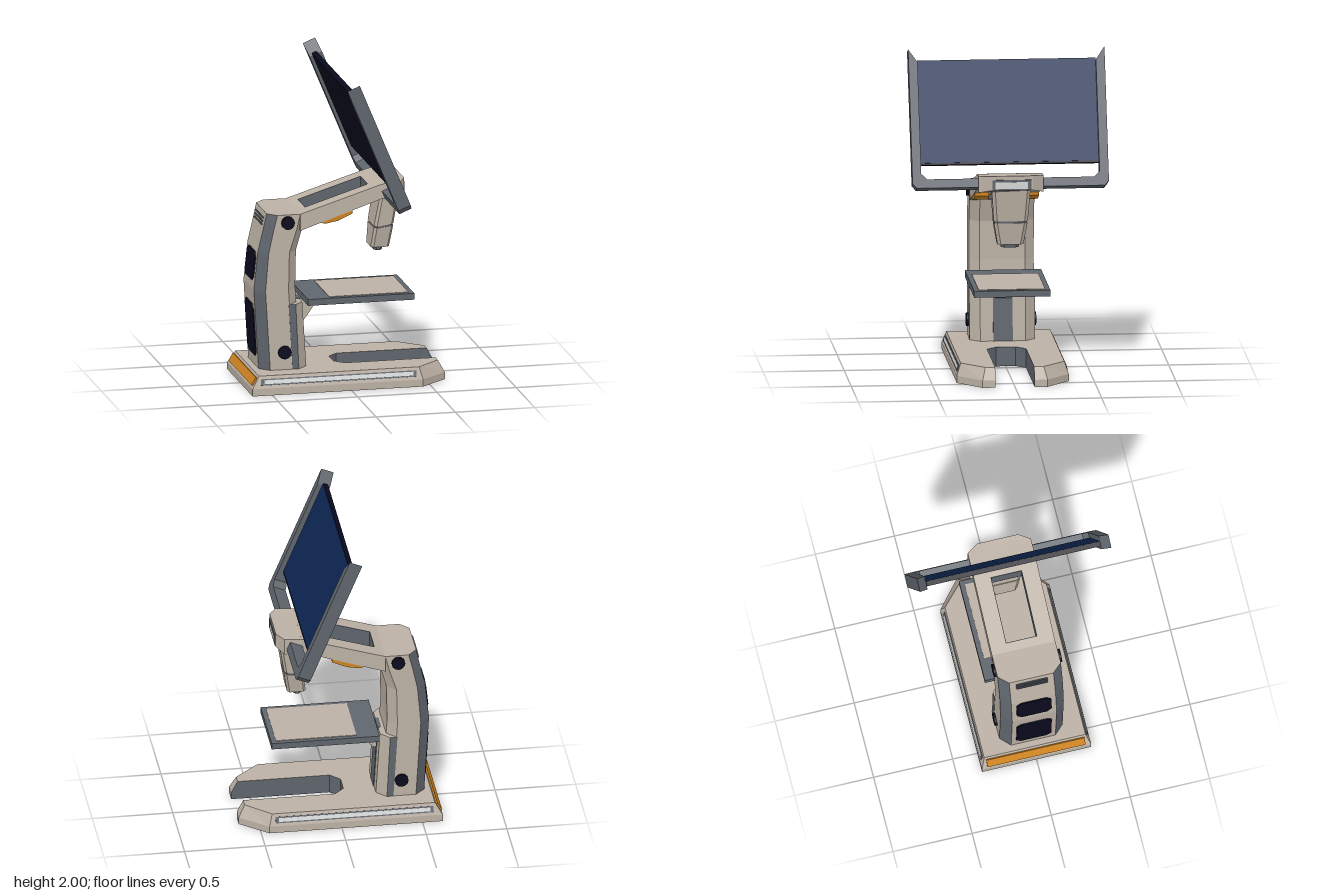
import * as THREE from 'three';

const mat = (name, color) => {
  const m = new THREE.MeshStandardMaterial({ color });
  m.name = name;
  return m;
};

export function createModel() {
  const root = new THREE.Group();
  root.name = 'inspectionStand';
  const beige = mat('warm beige', 0xbcb1a5);
  const grey = mat('slate grey', 0x60666e);
  const black = mat('blue black', 0x0a0a1e);
  const navy = mat('screen navy', 0x0f2856);
  const orange = mat('amber', 0xcf8420);
  const light = mat('pale trim', 0xd3d6d4);

  const add = (name, geo, material, parent = root) => {
    const m = new THREE.Mesh(geo, material);
    m.name = name;
    parent.add(m);
    return m;
  };
  const box = (name, w, h, d, x, y, z, material, parent) => {
    const m = add(name, new THREE.BoxGeometry(w, h, d), material, parent);
    m.position.set(x, y, z);
    return m;
  };
  const shape = (pts) => new THREE.Shape(pts.map((p) => new THREE.Vector2(...p)));
  // side profile (x, y) extruded from z0 to z1
  const prism = (name, pts, z0, z1, material) => {
    const g = new THREE.ExtrudeGeometry(shape(pts), { depth: z1 - z0, bevelEnabled: false });
    return add(name, g.translate(0, 0, z0), material);
  };
  // skin stacked rings of [x, y, z], with one material per side and capped ends
  const loft = (name, rings, sideMat, bottomMat = beige) => {
    const buckets = new Map();
    const tri = (m, a, b, c) => {
      if (!buckets.has(m)) buckets.set(m, []);
      buckets.get(m).push(...a, ...b, ...c);
    };
    const n = rings[0].length;
    for (let k = 0; k < rings.length - 1; k++) {
      for (let i = 0; i < n; i++) {
        const j = (i + 1) % n, r = rings[k], s = rings[k + 1];
        tri(sideMat(i), r[i], s[i], s[j]);
        tri(sideMat(i), r[i], s[j], r[j]);
      }
    }
    const cap = (ring, up, m) => {
      const flat = ring.map((p) => new THREE.Vector2(p[0], p[2]));
      for (const [a, b, c] of THREE.ShapeUtils.triangulateShape(flat, [])) {
        const area = (flat[b].x - flat[a].x) * (flat[c].y - flat[a].y)
          - (flat[b].y - flat[a].y) * (flat[c].x - flat[a].x);
        if ((area < 0) === up) tri(m, ring[a], ring[b], ring[c]);
        else tri(m, ring[a], ring[c], ring[b]);
      }
    };
    cap(rings[0], false, bottomMat);
    cap(rings[rings.length - 1], true, sideMat(-1));
    const g = new THREE.BufferGeometry();
    const pos = [], mats = [...buckets.keys()];
    mats.forEach((m, i) => {
      g.addGroup(pos.length / 3, buckets.get(m).length / 3, i);
      for (const v of buckets.get(m)) pos.push(v);
    });
    g.setAttribute('position', new THREE.Float32BufferAttribute(pos, 3));
    g.computeVertexNormals();
    return add(name, g, mats);
  };
  // complete a half outline (z negative) by mirroring it
  const mirrorRing = (half) => [...half, ...half.slice().reverse().map(([x, y, z]) => [x, y, -z])];

  // base: forked plate with sloped rim and dark slot walls
  const baseRing = (y, back, wide, cx, tip, tz) => mirrorRing([
    [back, y, -wide], [cx, y, -wide], [tip, y, -tz], [tip, y, -0.12], [0.01, y, -0.12], [-0.05, y, -0.06],
  ]);
  loft('base', [
    baseRing(0, -0.625, 0.345, 0.45, 0.62, 0.2),
    baseRing(0.045, -0.625, 0.345, 0.45, 0.62, 0.2),
    baseRing(0.12, -0.58, 0.32, 0.43, 0.58, 0.18),
  ], (i) => (i >= 3 && i <= 7 ? grey : beige), black);
  for (const s of [-1, 1]) {
    const strip = new THREE.Group();
    strip.name = 'baseSideStrip';
    strip.position.set(-0.08, 0.082, s * 0.333);
    strip.rotation.x = -s * 0.32;
    box('stripFrame', 0.98, 0.04, 0.006, 0, 0, 0, grey, strip);
    box('stripInlay', 0.94, 0.024, 0.009, 0, 0, 0, light, strip);
    root.add(strip);
  }
  box('backStrip', 0.02, 0.055, 0.62, -0.603, 0.082, 0, orange).rotation.z = -0.54;

  // column: bowed post with grey rear chamfers
  loft('column', [
    [0.12, -0.54, -0.48, -0.335, -0.27],
    [0.62, -0.57, -0.51, -0.365, -0.31],
    [0.86, -0.545, -0.49, -0.36, -0.305],
    [1.0, -0.512, -0.46, -0.315, -0.265],
    [1.1, -0.49, -0.435, -0.29, -0.25],
  ].map(([y, b, s, f, c]) => mirrorRing([[b, y, -0.14], [s, y, -0.2], [f, y, -0.2], [c, y, -0.14]])),
  (i) => (i === 0 || i === 6 ? grey : beige));

  // lower guide block with a central rail
  loft('guideBlock', [[0.12, -0.34, -0.3, -0.24], [0.53, -0.365, -0.32, -0.265]].map(([y, f, g, c]) =>
    mirrorRing([[f, y, -0.202], [g, y, -0.202], [c, y, -0.14]])), (i) => (i === 0 || i === 4 ? grey : beige));
  prism('rail', [[-0.26, 0.12], [-0.236, 0.12], [-0.261, 0.532], [-0.285, 0.532]], -0.06, 0.06, grey);

  // rear panels and vent slits lie on the sloping back
  const backPlate = (name, x0, y0, x1, y1, hw, c, material) => {
    const h = Math.hypot(x1 - x0, y1 - y0);
    const g = new THREE.ExtrudeGeometry(shape([[-hw + c, 0], [hw - c, 0], [hw, c], [hw, h - c],
      [hw - c, h], [-hw + c, h], [-hw, h - c], [-hw, c]]), { depth: 0.008, bevelEnabled: false });
    const m = add(name, g.rotateY(-Math.PI / 2), material);
    m.position.set(x0, y0, 0);
    m.rotation.z = Math.atan2(x0 - x1, y1 - y0);
  };
  backPlate('lowerRearPanel', -0.544, 0.19, -0.564, 0.52, 0.11, 0.03, black);
  backPlate('upperRearPanel', -0.565, 0.67, -0.546, 0.85, 0.11, 0.03, black);
  for (const y of [1.02, 1.04, 1.06]) {
    const x = -0.512 + (y - 1) * 0.22;
    backPlate('ventSlit', x, y, x + 0.002, y + 0.008, 0.1, 0.002, grey);
  }

  // pivot caps through the column
  for (const [x, y] of [[-0.37, 1.05], [-0.39, 0.23]]) {
    const cap = add('pivotCap', new THREE.CylinderGeometry(0.042, 0.042, 0.43, 12).toNonIndexed(), black);
    cap.rotation.x = Math.PI / 2;
    cap.position.set(x, y, 0);
  }

  // arm: two rails around an open slot, joined at both ends
  const top = (x) => 1.1 + 0.312 * Math.max(0, x + 0.29);
  const under = (x) => 1.005 + 0.337 * (x + 0.26);
  const armPart = (name, x0, x1, z0, z1, material) => prism(name,
    [[x0, under(x0)], [x1, under(x1)], [x1, top(x1)], [x0, top(x0)]], z0, z1, material);
  armPart('armRoot', -0.29, -0.24, -0.2, 0.2, beige);
  armPart('armFrontBridge', 0.16, 0.23, -0.2, 0.2, beige);
  armPart('slotRearWall', -0.24, -0.236, -0.1, 0.1, grey);
  armPart('slotFrontWall', 0.156, 0.16, -0.1, 0.1, grey);
  for (const s of [-1, 1]) {
    const span = (a, b) => (s > 0 ? [a, b] : [-b, -a]);
    armPart('armRail', -0.24, 0.16, ...span(0.1, 0.2), beige);
    armPart('slotSideWall', -0.236, 0.156, ...span(0.096, 0.1), grey);
    prism('armGrip', [[-0.16, 1.037], [-0.13, 1.03], [-0.05, 1.045], [0.04, 1.085], [0.04, 1.112], [-0.15, 1.048]],
      ...span(0.11, 0.198), orange);
  }

  // head with chamfered nose and status display
  const nose = (a, b, c) => mirrorRing([[0.23, a, -0.2], [0.335, b, -0.2], [0.38, c, -0.13]]);
  loft('head', [nose(1.165, 1.165, 1.185), nose(1.262, 1.268, 1.275)], () => beige);
  box('displayFrame', 0.006, 0.065, 0.24, 0.381, 1.218, 0, grey);
  box('statusDisplay', 0.008, 0.042, 0.2, 0.382, 1.216, 0, light);

  // tapered optic below the head
  const opticRing = (x0, x1, hz, yb, yf = yb) => mirrorRing([
    [x0, yb, -hz + 0.02], [x0 + 0.015, yb, -hz], [x1 - 0.015, yf, -hz], [x1, yf, -hz + 0.02],
  ]);
  const optic = (name, lower, upper, m) =>
    loft(name, [opticRing(...lower), opticRing(...upper)], () => m, m);
  optic('opticBody', [0.2, 0.322, 0.105, 0.965, 0.98], [0.24, 0.355, 0.12, 1.19], beige);
  optic('opticCollar', [0.205, 0.317, 0.098, 0.95, 0.96], [0.207, 0.319, 0.1, 0.97, 0.985], grey);
  optic('opticNose', [0.185, 0.3, 0.08, 0.83], [0.2, 0.322, 0.103, 0.955, 0.967], beige);
  optic('opticTip', [0.21, 0.26, 0.055, 0.805], [0.205, 0.265, 0.058, 0.832], grey);

  // stage tray and its bracket
  box('stage', 0.67, 0.04, 0.47, 0.085, 0.545, 0, grey);
  box('stagePlate', 0.5, 0.006, 0.41, 0.14, 0.565, 0, beige);
  prism('stageBracket', [[-0.27, 0.39], [-0.235, 0.39], [-0.21, 0.42], [-0.14, 0.526], [-0.27, 0.526]],
    -0.05, 0.05, beige);

  // tilted monitor in a U-shaped cradle
  const monitor = new THREE.Group();
  monitor.name = 'monitor';
  monitor.position.set(0.245, 1.165, 0);
  monitor.rotation.z = 0.392;
  root.add(monitor);
  const half = [[0.58, 0], [0.605, 0.03], [0.605, 0.87], [0.55, 0.79], [0.55, 0.09], [0.515, 0.055]];
  const cradle = new THREE.ExtrudeGeometry(
    shape([...half, ...half.slice().reverse().map(([x, y]) => [-x, y])]), { depth: 0.083, bevelEnabled: false });
  add('cradle', cradle.rotateY(Math.PI / 2), grey, monitor);
  box('screenBody', 0.03, 0.655, 1.1, 0.035, 0.478, 0, black, monitor);
  box('screenFace', 0.006, 0.64, 1.096, 0.05, 0.482, 0, navy, monitor);

  return root;
}
